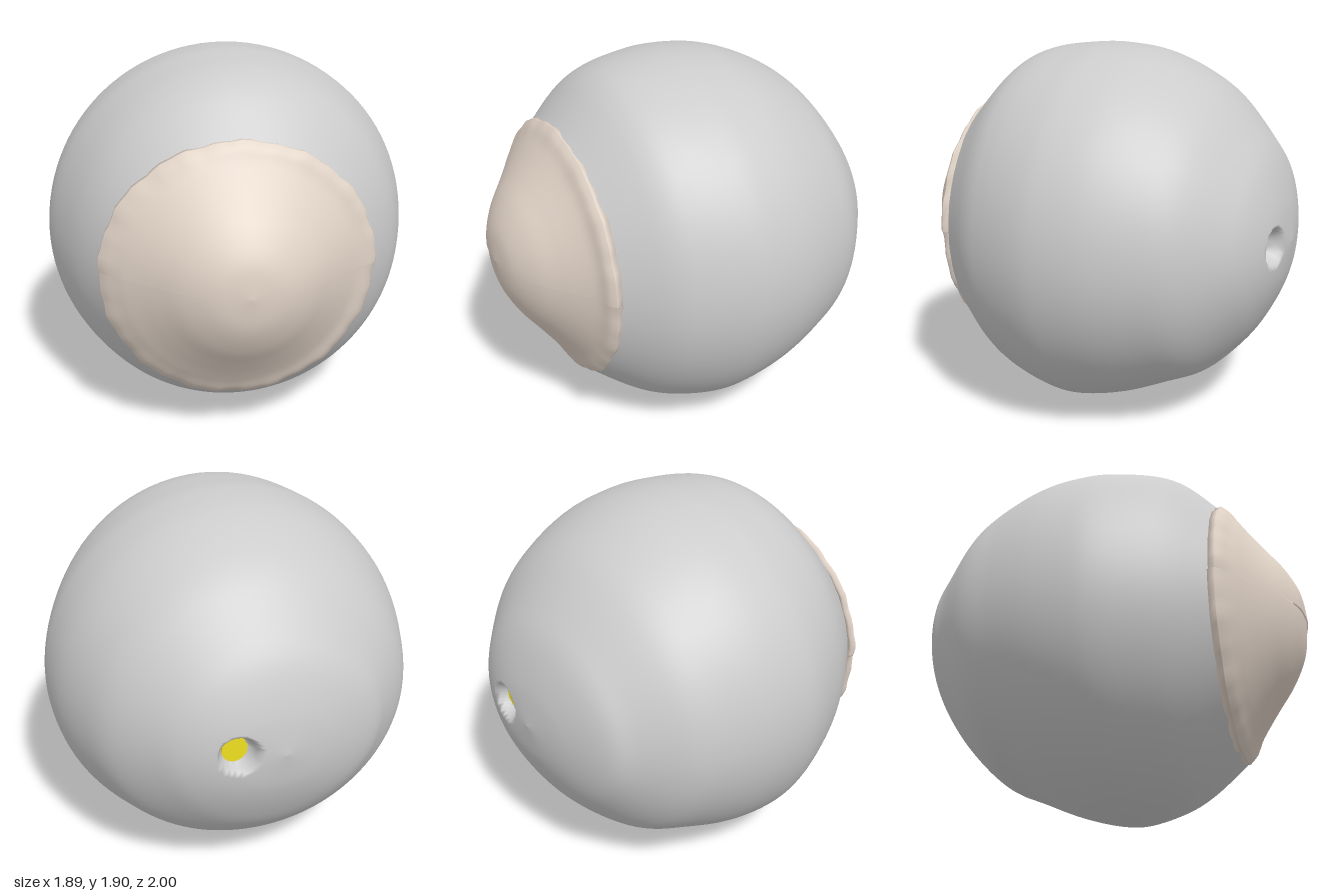
import * as THREE from 'three';
import { ParametricGeometry } from 'three/addons/geometries/ParametricGeometry.js';

const CENTRE_Y = 0.95;
const HOLE = { x: 0.22, y: 0.97, inner: 0.055, outer: 0.11, depth: 0.085 };

// Cross-sections from back to front: z, then radius towards top, +x, bottom, -x
const SECTIONS = [
  [-1.0, 0.002, 0.002, 0.002, 0.002],
  [-0.97, 0.2, 0.27, 0.2, 0.25],
  [-0.9, 0.4, 0.46, 0.38, 0.48],
  [-0.8, 0.55, 0.595, 0.54, 0.6],
  [-0.63, 0.735, 0.765, 0.71, 0.77],
  [-0.45, 0.85, 0.86, 0.795, 0.86],
  [-0.25, 0.925, 0.925, 0.88, 0.925],
  [-0.05, 0.95, 0.945, 0.935, 0.947],
  [0.1, 0.945, 0.93, 0.94, 0.93],
  [0.3, 0.915, 0.865, 0.885, 0.86],
  [0.45, 0.84, 0.785, 0.8, 0.785],
  [0.64, 0.65, 0.61, 0.65, 0.66],
];

function makeBall() {
  const [top, left, bottom, right] = [1, 2, 3, 4].map(
    (k) => new THREE.SplineCurve(SECTIONS.map((s) => new THREE.Vector2(s[k], s[0])))
  );
  const p = new THREE.Vector2();
  const q = new THREE.Vector2();
  return new ParametricGeometry((u, v, target) => {
    const a = u * Math.PI * 2;
    const c = Math.cos(a);
    const s = Math.sin(a);
    (c > 0 ? left : right).getPoint(v, p);
    (s > 0 ? top : bottom).getPoint(v, q);
    const r = p.x * c * c + q.x * s * s;
    const x = r * c;
    const y = CENTRE_Y + r * s;
    let z = p.y;
    // Pit for the nerve at the back
    if (z < -0.5) {
      const d = Math.hypot(x - HOLE.x, y - HOLE.y);
      z += HOLE.depth * (1 - THREE.MathUtils.smoothstep(d, HOLE.inner, HOLE.outer));
    }
    target.set(x, y, z);
  }, 112, 121);
}

// Half of the domed front cover, with a thin shell and a slightly ragged rim
function makeCoverHalf(phiStart) {
  const outer = new THREE.SplineCurve([
    [0.672, 0.635], [0.64, 0.665], [0.58, 0.7], [0.5, 0.755], [0.42, 0.815],
    [0.3, 0.905], [0.16, 0.972], [0, 0.995],
  ].map(([r, z]) => new THREE.Vector2(r, z))).getPoints(42);
  const inner = [[0, 0.965], [0.3, 0.875], [0.5, 0.725], [0.64, 0.615], [0.668, 0.605]]
    .map(([r, z]) => new THREE.Vector2(r, z));
  const geo = new THREE.LatheGeometry([...inner, ...outer], 48, phiStart, Math.PI);
  geo.rotateX(Math.PI / 2);
  const pos = geo.attributes.position;
  for (let i = 0; i < pos.count; i++) {
    const x = pos.getX(i);
    const y = pos.getY(i);
    const r = Math.hypot(x, y);
    const a = Math.atan2(y, x);
    const rim = THREE.MathUtils.smoothstep(r, 0.55, 0.67);
    const k = 1 + rim * 0.006 * (Math.sin(a * 13) + Math.sin(a * 29 + 1));
    // The rim sits a little further back on the -x side
    pos.setXYZ(i, x * k, y * k, pos.getZ(i) + rim * x * 0.03);
  }
  geo.computeVertexNormals();
  return geo;
}

export function createModel() {
  const group = new THREE.Group();
  const grey = new THREE.MeshStandardMaterial({ color: 0xcccccc, side: THREE.DoubleSide });
  const beige = new THREE.MeshStandardMaterial({ color: 0xe0d2c6, side: THREE.DoubleSide });
  const yellow = new THREE.MeshStandardMaterial({ color: 0xf0e020 });

  const add = (name, geometry, material) => {
    const mesh = new THREE.Mesh(geometry, material);
    mesh.name = name;
    group.add(mesh);
    return mesh;
  };

  add('eyeball', makeBall(), grey);

  // Two cover halves meeting at a slightly sloping seam
  const upper = add('upperCornea', makeCoverHalf(Math.PI / 2), beige);
  const lower = add('lowerCornea', makeCoverHalf(-Math.PI / 2), beige);
  upper.position.set(-0.045, 0.979, 0.004);
  lower.position.set(-0.045, 0.976, -0.002);
  upper.scale.y = 0.945;
  lower.scale.y = 1.04;
  for (const half of [upper, lower]) half.rotation.z = -0.018;

  // Nerve stub in the pit
  const nerve = add('opticNerve', new THREE.CylinderGeometry(0.068, 0.068, 0.04, 32), yellow);
  nerve.rotation.x = Math.PI / 2;
  nerve.position.set(HOLE.x, HOLE.y, -0.885);

  return group;
}
